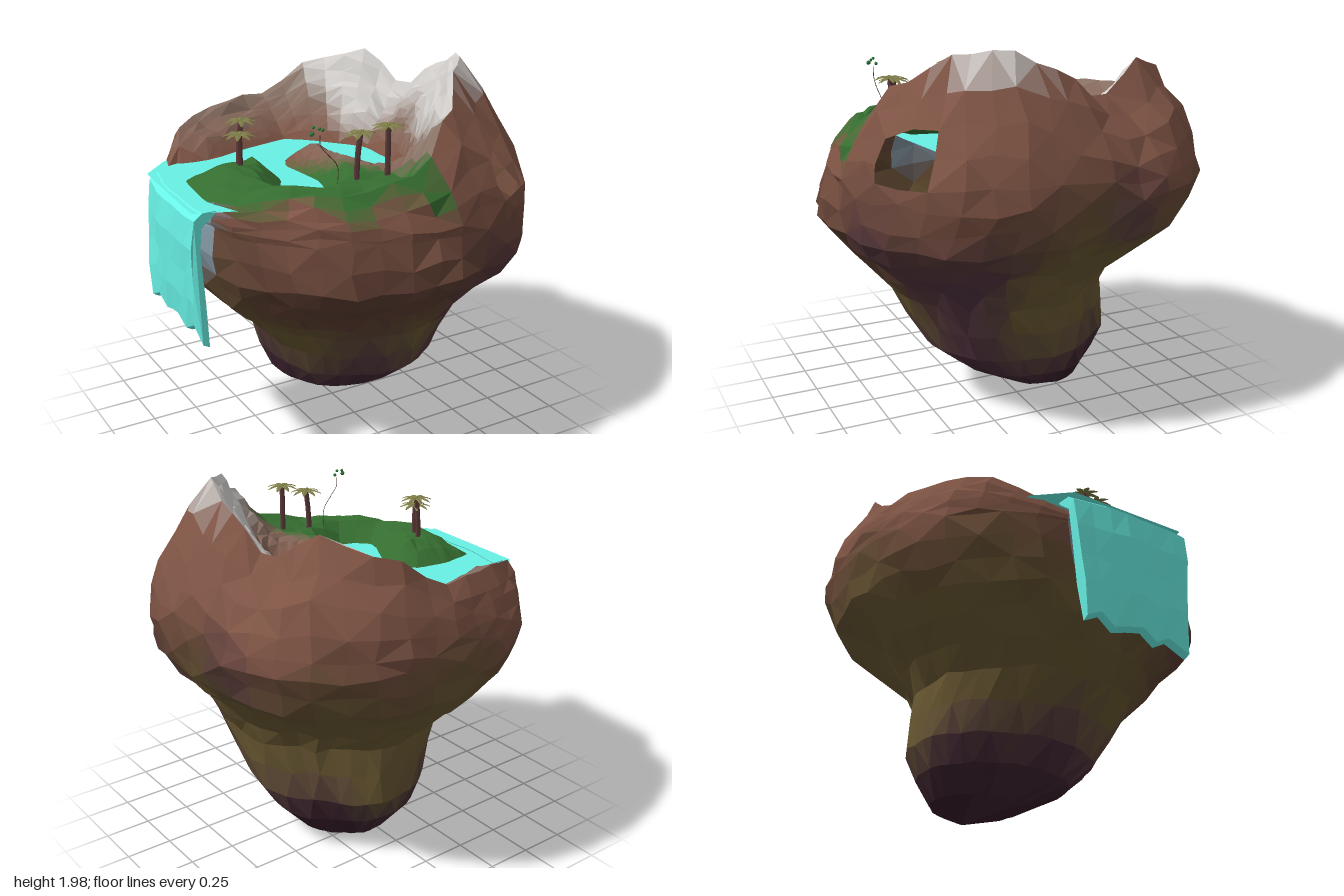
import * as THREE from 'three';

const SEG = 40, WATER = 1.4;
const lerp = THREE.MathUtils.lerp, clamp = THREE.MathUtils.clamp;
const hash = (a, b, c = 0) => {
  const s = Math.sin(a * 127.1 + b * 311.7 + c * 74.7) * 43758.5453;
  return (s - Math.floor(s)) * 2 - 1;
};
const mat = (color) => new THREE.MeshStandardMaterial({ color, flatShading: true, side: THREE.DoubleSide });
const mesh = (name, geo, color) => {
  const m = new THREE.Mesh(geo, mat(color));
  m.name = name;
  return m;
};

// Crater crest: height and radius every 22.5 degrees, from +x towards +z
const CREST_Y = [1.87, 1.98, 1.94, 1.79, 1.55, 1.5, 1.48, 1.42, 1.35, 1.36, 1.54, 1.61, 1.61, 1.79, 1.87, 1.7];
const CREST_R = [0.66, 0.67, 0.63, 0.71, 0.78, 0.78, 0.8, 0.85, 0.87, 0.88, 0.87, 0.82, 0.83, 0.84, 0.74, 0.67];
function around(list, a) {
  const u = ((a / (Math.PI * 2)) * 16 + 16) % 16, i = Math.floor(u), f = u - i;
  return lerp(list[i], list[(i + 1) % 16], f * f * (3 - 2 * f));
}

// Outer body levels: y, xMin, xMax, zMin, zMax
const LEVELS = [
  [0, 0.18, 0.18, -0.22, -0.22], [0.08, -0.12, 0.37, -0.43, 0.06], [0.2, -0.3, 0.49, -0.52, 0.3],
  [0.34, -0.37, 0.56, -0.58, 0.46], [0.5, -0.43, 0.6, -0.57, 0.55], [0.65, -0.54, 0.64, -0.56, 0.64],
  [0.76, -0.67, 0.69, -0.63, 0.73], [0.86, -0.78, 0.75, -0.76, 0.83], [0.96, -0.84, 0.84, -0.86, 0.92],
  [1.06, -0.87, 0.91, -0.94, 0.99], [1.17, -0.88, 0.95, -0.97, 0.97], [1.28, -0.88, 0.97, -0.99, 0.93],
];

// Outline of the lake, its bays and its outlet (x, z)
const LAKE = [
  [-1, -0.45], [-0.78, -0.47], [-0.68, -0.4], [-0.5, -0.4], [-0.3, -0.48], [0, -0.55], [0.12, -0.45], [0.22, -0.32],
  [0.32, -0.2], [0.32, 0.05], [0.28, 0.28], [0.2, 0.34], [0.12, 0.27], [0.05, 0.03], [0.1, -0.15], [-0.02, -0.2],
  [-0.18, -0.2], [-0.23, -0.1], [-0.2, 0.2], [-0.25, 0.4], [-0.35, 0.45], [-0.47, 0.36], [-0.46, 0.28], [-0.36, 0.1],
  [-0.34, -0.05], [-0.42, -0.14], [-0.6, -0.17], [-0.79, -0.14], [-0.84, 0.15], [-0.8, 0.3], [-0.72, 0.43], [-1, 0.4],
];
// Distance to the shore, negative in the water
function shoreDistance(x, z) {
  let best = 9, inside = false;
  LAKE.forEach(([ax, az], i) => {
    const [bx, bz] = LAKE[(i + 1) % LAKE.length], dx = bx - ax, dz = bz - az;
    const t = clamp(((x - ax) * dx + (z - az) * dz) / (dx * dx + dz * dz), 0, 1);
    best = Math.min(best, Math.hypot(x - ax - t * dx, z - az - t * dz));
    if (az > z !== bz > z && x < ax + ((z - az) / dz) * dx) inside = !inside;
  });
  return inside ? -best : best;
}
// Ground height inside the crest
function ground(x, z) {
  const a = Math.atan2(z, x), d = shoreDistance(x, z);
  if (d < 0) return WATER - Math.min(0.08, -d);
  const c = around(CREST_Y, a) - WATER, e = Math.max(0, around(CREST_R, a) - Math.hypot(x, z));
  const bump = Math.min(0.11, d * 0.9, c + e * 0.8);
  return WATER + Math.max(c * Math.pow(d / (d + e + 1e-6), 0.85), bump);
}

// Rings of the island from the tip, up the outside, over the crest and into the crater
function islandRings() {
  const rings = [];
  const angle = (j) => ((j % SEG) / SEG) * Math.PI * 2;
  const jitter = (p, i, j, n) => p.add(new THREE.Vector3(hash(i, j, 1), hash(i, j, 2), hash(i, j, 3)).multiplyScalar(n));
  const add = (fn) => rings.push(Array.from({ length: SEG + 1 }, (_, j) => fn(angle(j), j % SEG)));
  // the back right corner is pinched at the neck and full at the shoulder
  const body = ([y, x0, x1, z0, z1], a) => {
    const up = clamp((y - 0.6) / 0.5, 0, 1), c = Math.cos(a), s = Math.sin(a);
    const full = c < 0 ? 0.02 : s > 0 ? lerp(0.03, 0.08, up) : lerp(-0.1, 0.08, up);
    const k = 1 + Math.sin(2 * a) ** 2 * full;
    return new THREE.Vector3((x0 + x1) / 2 + ((x1 - x0) / 2) * k * c, y, (z0 + z1) / 2 + ((z1 - z0) / 2) * k * s);
  };
  LEVELS.forEach((lv, i) => add((a, j) => jitter(body(lv, a), i, j, Math.min(0.018, i * 0.003))));
  const crest = (a, j) => {
    const r = around(CREST_R, a);
    return new THREE.Vector3(r * Math.cos(a), around(CREST_Y, a) + hash(3, j) * 0.012, r * Math.sin(a));
  };
  for (const t of [0.16, 0.36, 0.56, 0.78, 1]) add((a, j) => {
    const p = body(LEVELS[11], a), q = crest(a, j), s = t ** 1.7;
    const n = t < 1 ? clamp((q.y - 1.28) * 0.05, 0.002, 0.02) : 0;
    return jitter(new THREE.Vector3(lerp(p.x, q.x, s), lerp(p.y, q.y, t), lerp(p.z, q.z, s)), t * 7, j, n);
  });
  const N = 22;
  for (let i = 1; i <= N; i++) add((a, j) => {
    const r = around(CREST_R, a) * (1 - i / N), x = r * Math.cos(a), z = r * Math.sin(a), y = ground(x, z);
    const n = Math.min(0.025, Math.max(0, y - WATER - 0.02) * 0.14) * clamp(r * 2.5 - 0.4, 0, 1);
    return new THREE.Vector3(x, y + hash(i, j, 7) * n, z);
  });
  return rings;
}

// Surface tone at a point, blended in coarse steps
const TONES = { rock: 0x7e5444, darkRock: 0x5a3b30, greyRock: 0x8a7468, olive: 0x665530, purple: 0x4e2f3e,
  deepRock: 0x341b28, snow: 0xd0cdca, grass: 0x356d30, wetRock: 0x86a4b4 };
function tone(p, inner) {
  let name = 'rock';
  const c = new THREE.Color(TONES.rock);
  const mix = (n, w) => {
    const q = Math.round(clamp(w, 0, 1) * 6) / 6;
    c.lerp(new THREE.Color(TONES[n]), q);
    if (q > 0.5) name = n;
  };
  const { x, y, z } = p, wob = Math.sin(x * 9 + z * 5) * 0.06 + Math.sin(z * 11 - x * 4) * 0.04;
  if (inner) {
    mix('greyRock', (y - 1.42) * 5);
  } else {
    mix('darkRock', (1.5 - y + wob) * 2.2);
    mix('olive', (1.35 - y + wob) * 2.5 * clamp(0.85 - z * 1.4, 0, 1));
    mix('olive', (0.85 - y) * 4 * (x < 0.3 ? 1 : 0));
    mix('purple', Math.min((x - 0.2) * 3, (z - 0.15) * 4, (1.25 - y + wob) * 2));
    mix('purple', (0.58 - y + wob + z * 0.2) * 3);
    mix('purple', 0.9 - Math.hypot(x - 0.85, y - 1.2, z + 0.3) * 3.2);
    mix('deepRock', (0.42 - y + wob) * 3);
    mix('wetRock', Math.min((-0.76 - x) * 9, (y - 1) * 5, (0.34 - Math.abs(z)) * 8));
  }
  if (x > 0.15) mix('snow', inner ? Math.min((y - 1.5 + wob) * 6, (x - 0.18) * 8) : (y - 1.82 + wob * 0.3) * 7);
  if (z > -0.22 && y > 1.28 && y < 1.62) {
    const edge = (-0.2 + 0.4 * z - x) * 10;
    mix('grass', inner ? edge + 0.5 : Math.min(edge + 0.5, (y - 1.4 + Math.sin(x * 15) * 0.05) * 12, (x + 0.85) * 9));
  }
  return [name, c];
}

function buildIsland() {
  const group = new THREE.Group(), rings = islandRings(), buckets = new Map(), face = new THREE.Triangle();
  group.name = 'island';
  const tri = (a, b, c, inner) => {
    if (face.set(a, b, c).getArea() < 1e-9) return;
    const [name, color] = tone(face.getMidpoint(new THREE.Vector3()), inner);
    const key = name + color.getHex();
    if (!buckets.has(key)) buckets.set(key, { name, color, pos: [] });
    for (const v of [a, b, c]) buckets.get(key).pos.push(v.x, v.y, v.z);
  };
  for (let i = 0; i < rings.length - 1; i++) for (let j = 0; j < SEG; j++) {
    // cave opening in the front right slope
    if ((i === 12 || i === 13) && (j === 5 || j === 6)) continue;
    const a = rings[i][j], b = rings[i][j + 1], c = rings[i + 1][j + 1], d = rings[i + 1][j], inner = i >= 16;
    if ((i + j) % 2) {
      tri(a, d, c, inner);
      tri(a, c, b, inner);
    } else {
      tri(a, d, b, inner);
      tri(b, d, c, inner);
    }
  }
  for (const { name, color, pos } of buckets.values()) {
    const geo = new THREE.BufferGeometry();
    geo.setAttribute('position', new THREE.Float32BufferAttribute(pos, 3));
    geo.computeVertexNormals();
    group.add(mesh(name, geo, color));
  }
  return group;
}

// Lake sheet, hidden under the land where it passes the shore
function buildLake() {
  const pts = [[-0.96, 0.33], [-0.77, 0.4], [-0.45, 0.5], [-0.2, 0.48], [0.28, 0.4], [0.38, 0.1], [0.36, -0.2],
    [0.16, -0.5], [0, -0.6], [-0.3, -0.55], [-0.76, -0.5], [-0.92, -0.34]];
  const geo = new THREE.ShapeGeometry(new THREE.Shape(pts.map((p) => new THREE.Vector2(...p))));
  return mesh('lake', geo.rotateX(Math.PI / 2).translate(0, WATER, 0), 0x68f0e4);
}

// Thick falling sheet, slightly turned, with a ragged foot and one long drip
function buildWaterfall() {
  const profile = [[-0.85, 1.405], [-0.92, 1.405], [-0.965, 1.37], [-0.98, 1.22], [-0.97, 1.05], [-0.965, 0.9],
    [-0.94, 0.72], [-0.905, 0.7], [-0.9, 0.9], [-0.915, 1.05], [-0.93, 1.2], [-0.925, 1.33], [-0.86, 1.385]];
  const geo = new THREE.ExtrudeGeometry(new THREE.Shape(profile.map((p) => new THREE.Vector2(...p))),
    { depth: 0.7, steps: 7, bevelEnabled: false });
  const p = geo.attributes.position;
  for (let i = 0; i < p.count; i++) {
    const x = p.getX(i), y = p.getY(i), z = p.getZ(i) - 0.34, low = clamp((1.3 - y) / 0.6, 0, 1);
    const drip = z > 0.33 && y < 0.75 ? 0.04 : 0;
    const turn = Math.max(0, -0.02 - z) * 0.16 * clamp((y - 0.7) * 2, 0, 1);
    p.setXYZ(i, x + turn + Math.sin(z * 17 + y * 5) * 0.006, y + low * (0.03 + 0.03 * Math.sin(z * 23 + 1)) - drip,
      z * (1 - low * 0.12) + drip);
  }
  geo.computeVertexNormals();
  return mesh('waterfall', geo, 0x68f0e4);
}

// Palm: bent trunk and a crown of drooping fronds
function buildPalm(x, z, top, lean) {
  const palm = new THREE.Group(), y = ground(x, z) - 0.02, h = top - y;
  palm.name = 'palm';
  palm.position.set(x, y, z);
  const path = new THREE.QuadraticBezierCurve3(new THREE.Vector3(-lean, 0, 0), new THREE.Vector3(-lean, h * 0.5, 0),
    new THREE.Vector3(0, h, 0));
  palm.add(mesh('trunk', new THREE.TubeGeometry(path, 5, 0.014, 6), 0x5a3838));
  for (let i = 0; i < 8; i++) {
    const geo = new THREE.PlaneGeometry(0.085, 0.026, 4, 2).rotateX(-Math.PI / 2).translate(0.0425, 0, 0);
    const p = geo.attributes.position;
    for (let k = 0; k < p.count; k++) {
      const u = p.getX(k) / 0.085, w = p.getZ(k);
      p.setXYZ(k, p.getX(k), 0.008 * Math.sin(u * 3) - 0.012 * u * u - Math.abs(w) * 0.3, w * (0.15 + Math.sin(u * Math.PI)));
    }
    const frond = mesh('frond', geo, 0x7d7d48);
    frond.position.y = h;
    frond.rotation.y = (i / 8) * Math.PI * 2 + x * 5;
    palm.add(frond);
  }
  return palm;
}

// Thin sapling with a few leaf tufts
function buildSapling() {
  const g = new THREE.Group();
  g.name = 'sapling';
  const path = new THREE.CatmullRomCurve3([[-0.29, 1.48, 0.55], [-0.29, 1.59, 0.55], [-0.35, 1.66, 0.56], [-0.39, 1.71, 0.56],
    [-0.39, 1.76, 0.56]].map((p) => new THREE.Vector3(...p)));
  g.add(mesh('stem', new THREE.TubeGeometry(path, 12, 0.002, 4), 0x4a3430));
  for (const [x, y, z, r] of [[-0.44, 1.775, 0.57, 0.013], [-0.42, 1.8, 0.55, 0.009], [-0.4, 1.795, 0.57, 0.009], [-0.37, 1.78, 0.55, 0.01]]) {
    g.add(mesh('leafTuft', new THREE.IcosahedronGeometry(r, 0).translate(x, y, z), 0x2c7a36));
  }
  return g;
}

export function createModel() {
  const model = new THREE.Group();
  model.name = 'floatingIsland';
  model.add(buildIsland(), buildLake(), buildWaterfall(), buildSapling());
  for (const p of [[-0.55, 0.04, 1.73, 0.02], [-0.585, 0.09, 1.675, 0.0], [-0.15, 0.53, 1.73, 0.02], [-0.03, 0.59, 1.765, 0.0]]) {
    model.add(buildPalm(...p));
  }
  return model;
}
